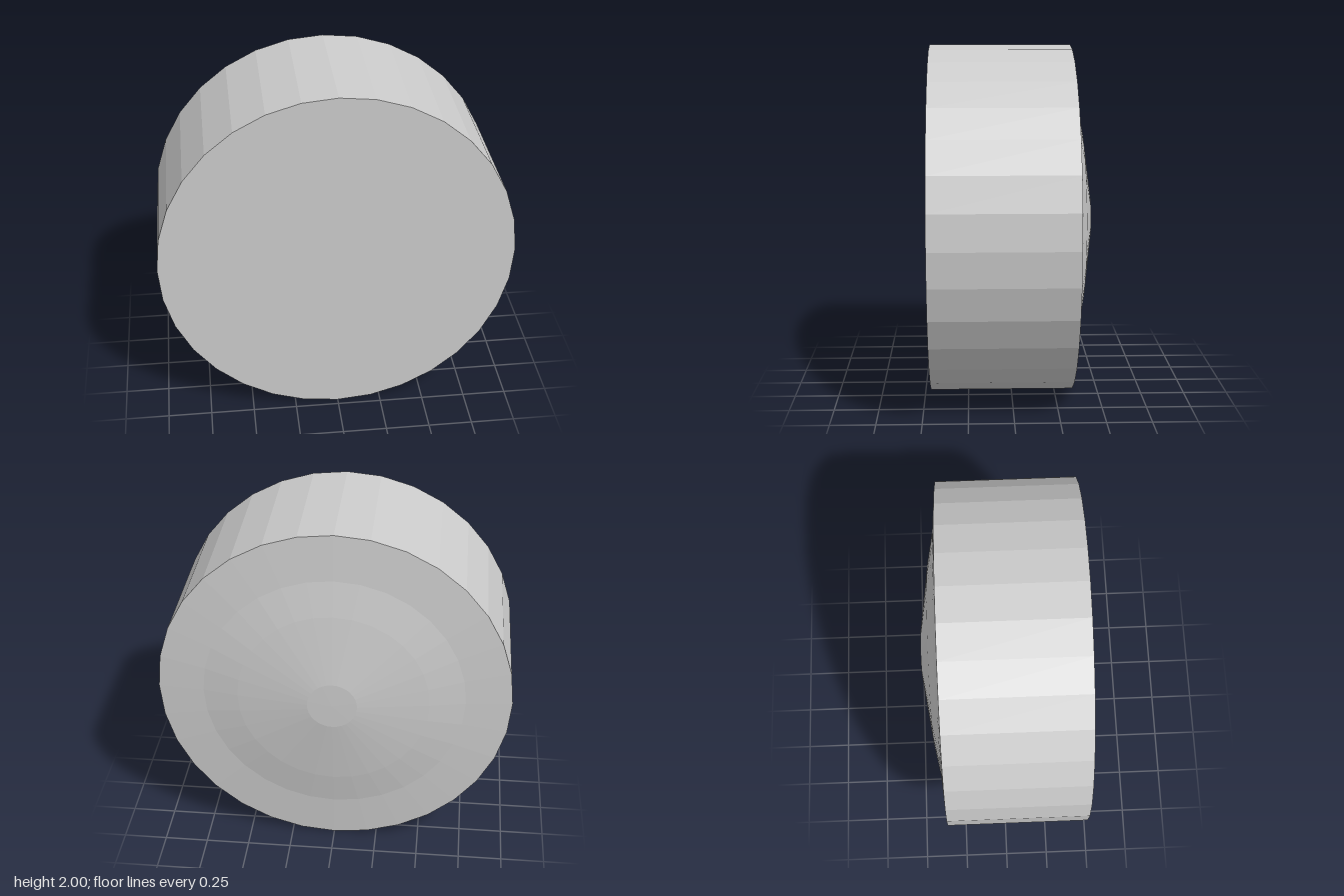
import * as THREE from 'three';

const SEGMENTS = 32;

export function createModel() {
  const group = new THREE.Group();
  group.name = 'domedDrum';
  const material = new THREE.MeshStandardMaterial({ color: 0xcccccc, flatShading: true });

  // Revolves [radius, z] points, ordered back to front, around the z axis.
  function addLathe(name, profile) {
    const points = profile.map(([r, z]) => new THREE.Vector2(r, z));
    const geometry = new THREE.LatheGeometry(points, SEGMENTS).rotateX(Math.PI / 2);
    const mesh = new THREE.Mesh(geometry, material);
    mesh.name = name;
    mesh.position.y = 1;
    group.add(mesh);
  }

  // Shallow stepped cone closing the back, with a small flat centre
  addLathe('backDome', [[0, -0.462], [0.14, -0.46], [0.54, -0.402], [0.74, -0.363], [1, -0.34]]);
  // Straight faceted wall
  addLathe('drumWall', [[1, -0.34], [1, 0.462]]);
  // Flat disc closing the front
  addLathe('frontFace', [[1, 0.462], [0, 0.462]]);

  return group;
}
